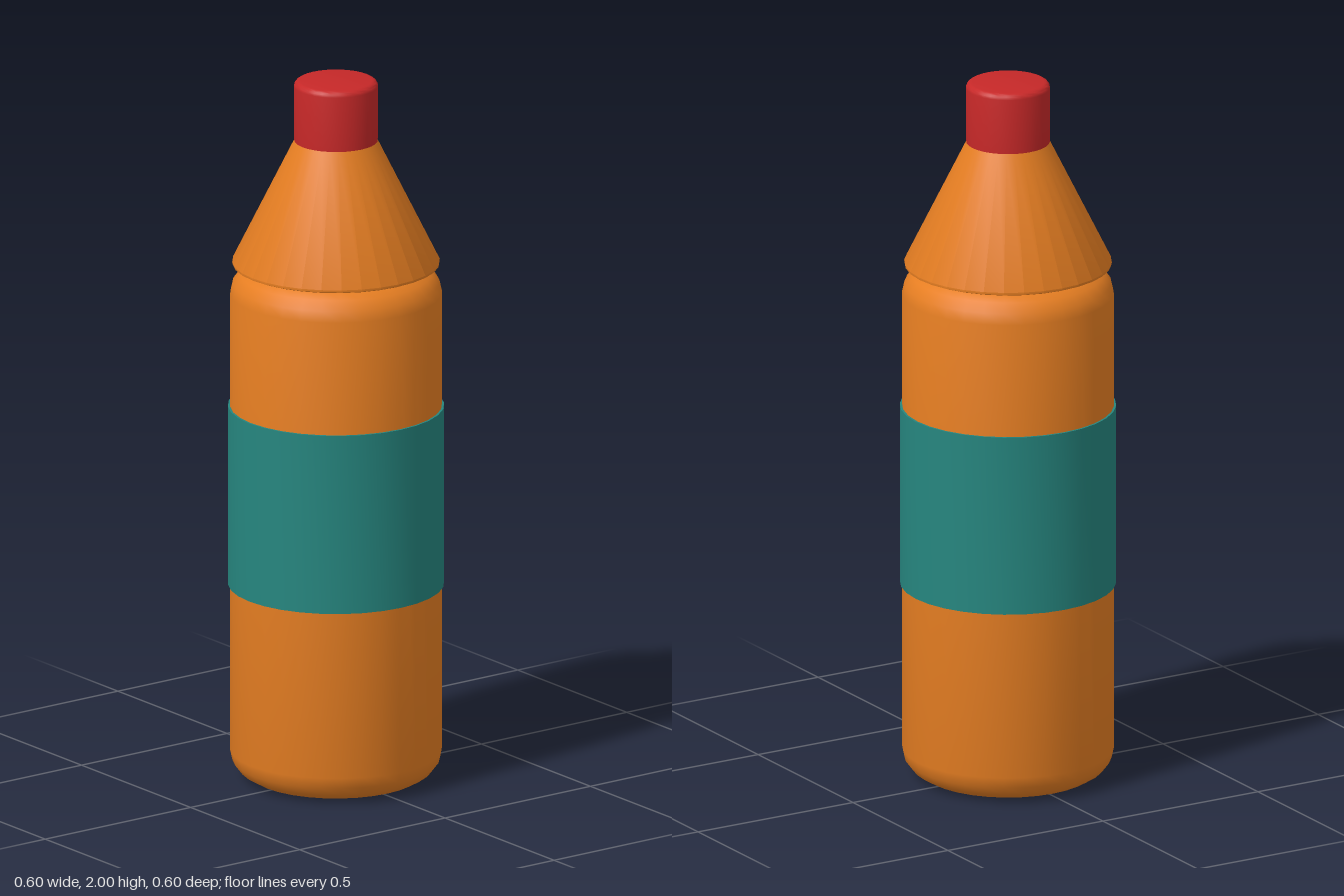
import * as THREE from 'three';
import { toCreasedNormals } from 'three/addons/utils/BufferGeometryUtils.js';

const SIDES = 32;

function material(name, color) {
  const m = new THREE.MeshStandardMaterial({ color });
  m.name = name;
  return m;
}

// Quarter-circle corner as profile points, from angle a0 to a1 in degrees
function corner(cx, cy, rx, ry, a0, a1, steps = 4) {
  const points = [];
  for (let i = 0; i <= steps; i++) {
    const a = THREE.MathUtils.degToRad(a0 + ((a1 - a0) * i) / steps);
    points.push([cx + rx * Math.cos(a), cy + ry * Math.sin(a)]);
  }
  return points;
}

// Turned part from a profile running bottom to top
function turned(name, profile, mat) {
  const lathe = new THREE.LatheGeometry(profile.map(([x, y]) => new THREE.Vector2(x, y)), SIDES);
  const mesh = new THREE.Mesh(toCreasedNormals(lathe, 0.6), mat);
  mesh.name = name;
  return mesh;
}

export function createModel() {
  const orange = material('orange plastic', 0xe67e22);
  const teal = material('teal label', 0x26867f);
  const red = material('red cap', 0xc62828);

  const bottle = new THREE.Group();
  bottle.name = 'bottle';

  // Straight body with rounded bottom and shoulder edges
  const body = turned('body', [
    [0, 0],
    ...corner(0.202, 0.08, 0.09, 0.08, -90, 0),
    ...corner(0.202, 1.39, 0.09, 0.08, 0, 90),
    [0, 1.47],
  ], orange);

  // Wrapped label standing slightly proud of the body
  const label = turned('label', [
    [0.28, 0.555], [0.298, 0.555], [0.298, 1.067], [0.28, 1.067],
  ], teal);

  // Conical neck with a thin bevelled rim overhanging the shoulder
  const neck = turned('neck', [
    [0, 1.471], [0.275, 1.471], [0.285, 1.475], [0.286, 1.482],
    [0.115, 1.828], [0, 1.828],
  ], orange);

  // Screw cap with a softened top edge
  const cap = turned('cap', [
    [0, 1.826], [0.115, 1.826],
    ...corner(0.099, 1.984, 0.017, 0.016, 0, 90),
    [0, 2],
  ], red);

  bottle.add(body, label, neck, cap);
  return bottle;
}
